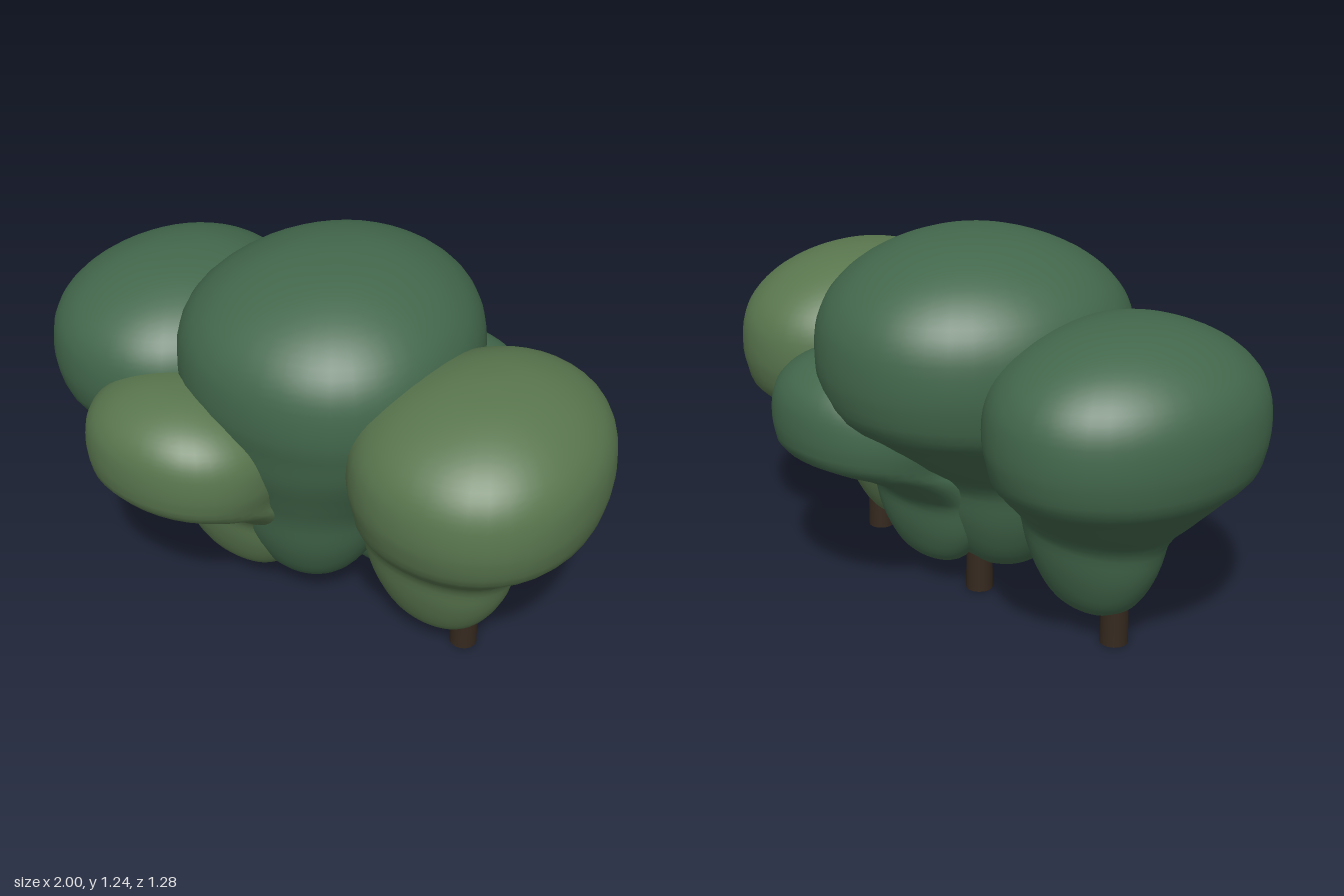
import * as THREE from 'three';
import { mergeVertices } from 'three/addons/utils/BufferGeometryUtils.js';

const material = (color) => new THREE.MeshStandardMaterial({ color, roughness: 1 });
const lightLeaf = material(0x59764e);
const darkLeaf = material(0x43684c);
const bark = material(0x35291f);

// Foliage profile: height fraction, radius factor, blend from lower lobe (0) to crown (1)
const profile = [
  [0, 0, 0], [0.012, 0.3, 0], [0.05, 0.58, 0], [0.12, 0.79, 0], [0.21, 0.95, 0], [0.3, 1.03, 0.02],
  [0.39, 1, 0.36], [0.475, 0.99, 0.68], [0.565, 0.96, 1], [0.65, 1, 1], [0.755, 0.99, 1], [0.825, 0.93, 1],
  [0.89, 0.8, 1], [0.945, 0.6, 1], [0.985, 0.33, 1], [1, 0, 1],
];
const profileCurve = new THREE.CatmullRomCurve3(profile.map((p) => new THREE.Vector3(...p)), false, 'centripetal');

// Foliage mass lofted from rounded rings; lobe and crown are [x, z, half width, half depth].
// egg widens the crown towards +z, tilt raises it towards +z, overhang flattens its underside.
function foliage(name, mat, top, lobe, crown, { egg = 0, tilt = 0, overhang = 1 }) {
  const base = 0.07, rows = 48, sides = 40;
  const positions = [], index = [];
  const soften = (v) => Math.sign(v) * Math.pow(Math.abs(v), 0.95);
  for (let i = 0; i <= rows; i++) {
    const p = profileCurve.getPoint(i / rows);
    const r = Math.max(0, p.y);
    const blend = Math.pow(THREE.MathUtils.clamp(p.z, 0, 1), overhang);
    const [cx, cz, rx, rz] = lobe.map((v, k) => THREE.MathUtils.lerp(v, crown[k], blend));
    const y = base + (top - base) * THREE.MathUtils.clamp(p.x, 0, 1);
    for (let j = 0; j < sides; j++) {
      const a = (j / sides) * Math.PI * 2;
      const dz = rz * r * soften(Math.sin(a));
      positions.push(
        cx + rx * r * soften(Math.cos(a)) * (1 + egg * blend * Math.sin(a)),
        y + tilt * blend * dz,
        cz + dz,
      );
      if (i < rows) {
        const n = (j + 1) % sides;
        const q = i * sides + j, s = i * sides + n;
        index.push(q, q + sides, s, s, q + sides, s + sides);
      }
    }
  }
  let geometry = new THREE.BufferGeometry();
  geometry.setAttribute('position', new THREE.Float32BufferAttribute(positions, 3));
  geometry.setIndex(index);
  geometry = mergeVertices(geometry, 1e-4);
  geometry.computeVertexNormals();
  const mesh = new THREE.Mesh(geometry, mat);
  mesh.name = name;
  return mesh;
}

function trunk(name, x, z) {
  const height = 0.24;
  const mesh = new THREE.Mesh(new THREE.CylinderGeometry(0.043, 0.045, height, 16), bark);
  mesh.position.set(x, height / 2, z);
  mesh.name = name;
  return mesh;
}

export function createModel() {
  const group = new THREE.Group();
  group.name = 'bushCluster';

  // Three large masses in a row
  group.add(
    foliage('centreFoliage', darkLeaf, 1.235, [-0.02, 0.03, 0.28, 0.25], [-0.02, -0.1, 0.475, 0.51], { egg: 0.08 }),
    foliage('leftFoliage', lightLeaf, 1.05, [0.48, 0, 0.265, 0.17], [0.615, -0.04, 0.38, 0.45], { egg: 0.1 }),
    foliage('rightFoliage', darkLeaf, 1.07, [-0.48, 0, 0.265, 0.17], [-0.615, -0.015, 0.385, 0.455], { egg: 0.08 }),
  );

  // Smaller masses in front and behind
  group.add(
    foliage('frontFoliage', lightLeaf, 0.86, [-0.23, 0.145, 0.27, 0.13], [-0.28, 0.34, 0.34, 0.3], { tilt: 0.12, overhang: 1.6 }),
    foliage('backFoliage', darkLeaf, 0.85, [0.15, -0.13, 0.25, 0.13], [0.21, -0.34, 0.32, 0.3], { tilt: -0.12, overhang: 1.6 }),
  );

  // Trunks
  group.add(
    trunk('leftTrunk', 0.58, -0.025),
    trunk('centreTrunk', -0.03, -0.08),
    trunk('rightTrunk', -0.59, -0.005),
  );
  return group;
}
